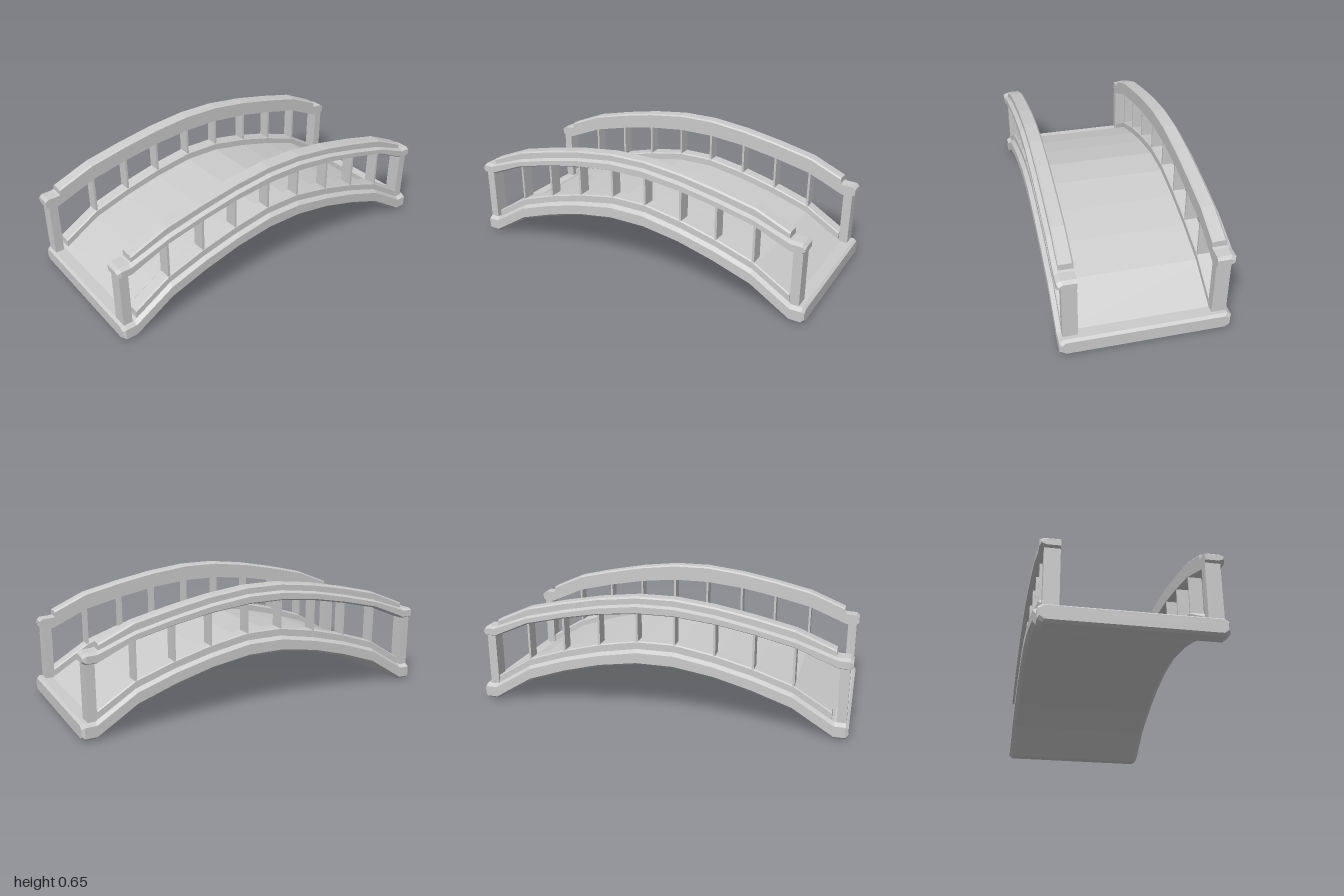
import * as THREE from 'three';

const material = new THREE.MeshStandardMaterial({ color: 0xcccccc, flatShading: true });

// Arch heights at the shared stations, from the middle outwards
const STEPS = [0.1, 0.31, 0.51, 0.715];
const DECK_BOTTOM = [0.288, 0.256, 0.203, 0.133];
const DECK_TOP = [0.375, 0.338, 0.288, 0.22];
const KERB_TOP = [0.417, 0.38, 0.328, 0.26];
const RAIL_BOTTOM = [0.565, 0.543, 0.506, 0.458];
const RAIL_TOP = [0.618, 0.592, 0.552, 0.503];
const CAP_TOP = [0.655, 0.63, 0.592, 0.545];

// Mirror [x, bottom, top, inset] stations into a full left-to-right list
function archStations(bottom, top, ends, rightShift = 0) {
  const half = STEPS.map((x, i) => [x, bottom[i], top[i], 0]).concat(ends);
  const left = half.map(([x, ...rest]) => [-x, ...rest]).reverse();
  const right = half.map(([x, ...rest]) => [x > 0.8 ? x + rightShift : x, ...rest]);
  return left.concat(right);
}

// Cross-section as [z, y] corners; each z side may have its own chamfer width
function section(bottom, top, zMin, zMax, cMin, cMax, cy) {
  const ring = [];
  if (cMax) ring.push([zMax, top - cy], [zMax, bottom + cy], [zMax - cMax, bottom]);
  else ring.push([zMax, bottom]);
  if (cMin) ring.push([zMin + cMin, bottom], [zMin, bottom + cy], [zMin, top - cy], [zMin + cMin, top]);
  else ring.push([zMin, bottom], [zMin, top]);
  ring.push([zMax - cMax, top]);
  return ring;
}

// Closed solid through the stations along x
function loft(name, stations, zMin, zMax, cMin, cMax, cy) {
  const rings = stations.map(([x, b, t, inset]) =>
    section(b, t, zMin + (cMin ? inset : 0), zMax - (cMax ? inset : 0), cMin, cMax, cy)
      .map(([z, y]) => [x, y, z]));
  const pos = [];
  const n = rings[0].length;
  for (let i = 0; i < rings.length - 1; i++) {
    for (let j = 0; j < n; j++) {
      const k = (j + 1) % n;
      const a = rings[i][j], b = rings[i][k], c = rings[i + 1][k], d = rings[i + 1][j];
      pos.push(...a, ...b, ...c, ...a, ...c, ...d);
    }
  }
  const first = rings[0], last = rings[rings.length - 1];
  for (let j = 1; j < n - 1; j++) {
    pos.push(...first[0], ...first[j + 1], ...first[j]);
    pos.push(...last[0], ...last[j], ...last[j + 1]);
  }
  const geometry = new THREE.BufferGeometry();
  geometry.setAttribute('position', new THREE.Float32BufferAttribute(pos, 3));
  geometry.computeVertexNormals();
  const mesh = new THREE.Mesh(geometry, material);
  mesh.name = name;
  return mesh;
}

// Loft placed on one side of the bridge, chamfered separately inside and outside
function sideLoft(name, side, stations, zIn, zOut, cIn, cOut, cy) {
  return side > 0
    ? loft(name, stations, zIn, zOut, cIn, cOut, cy)
    : loft(name, stations, -zOut, -zIn, cOut, cIn, cy);
}

function box(name, x0, x1, y0, y1, z0, z1) {
  const mesh = new THREE.Mesh(new THREE.BoxGeometry(x1 - x0, y1 - y0, z1 - z0), material);
  mesh.position.set((x0 + x1) / 2, (y0 + y1) / 2, (z0 + z1) / 2);
  mesh.name = name;
  return mesh;
}

function createRailing(side) {
  const railing = new THREE.Group();
  railing.name = side > 0 ? 'frontRailing' : 'backRailing';
  const zMid = side * 0.367;

  // Kerb along the deck edge
  const kerb = archStations(DECK_TOP.map((y) => y - 0.02), KERB_TOP, [[0.912, 0.075, 0.14, 0]]);
  railing.add(sideLoft('kerb', side, kerb, 0.33, 0.403, 0.006, 0.006, 0.006));

  // Handrail beam with blunt level ends
  const rail = archStations(RAIL_BOTTOM, RAIL_TOP,
    [[0.925, 0.373, 0.43, 0], [0.98, 0.373, 0.428, 0], [0.997, 0.384, 0.415, 0.008]], -0.02);
  railing.add(sideLoft('handrail', side, rail, 0.33, 0.425, 0, 0.022, 0.01));

  // Narrower cap on the handrail
  const cap = archStations(RAIL_TOP.map((y) => y - 0.02), CAP_TOP, [[0.914, 0.41, 0.465, 0]], -0.02);
  railing.add(sideLoft('handrailCap', side, cap, 0.33, 0.403, 0.008, 0.008, 0.008));

  // End posts
  for (const [name, x] of [['rightPost', -0.96], ['leftPost', 0.94]]) {
    railing.add(box(name, x - 0.024, x + 0.024, 0.08, 0.385, zMid - 0.037, zMid + 0.037));
  }

  // Thin slat balusters
  STEPS.forEach((x, i) => {
    for (const s of [-1, 1]) {
      railing.add(box('baluster', s * x - 0.006, s * x + 0.006,
        KERB_TOP[i] - 0.02, RAIL_BOTTOM[i] + 0.02, zMid - 0.034, zMid + 0.034));
    }
  });
  return railing;
}

export function createModel() {
  const bridge = new THREE.Group();
  bridge.name = 'archedBridge';

  // Solid arched deck with chamfered rims
  const deck = archStations(DECK_BOTTOM, DECK_TOP,
    [[0.925, 0.003, 0.091, 0], [0.984, 0.003, 0.091, 0], [0.998, 0.014, 0.08, 0.01]]);
  bridge.add(loft('deck', deck, -0.425, 0.425, 0.022, 0.022, 0.016));

  for (const side of [1, -1]) bridge.add(createRailing(side));
  return bridge;
}
